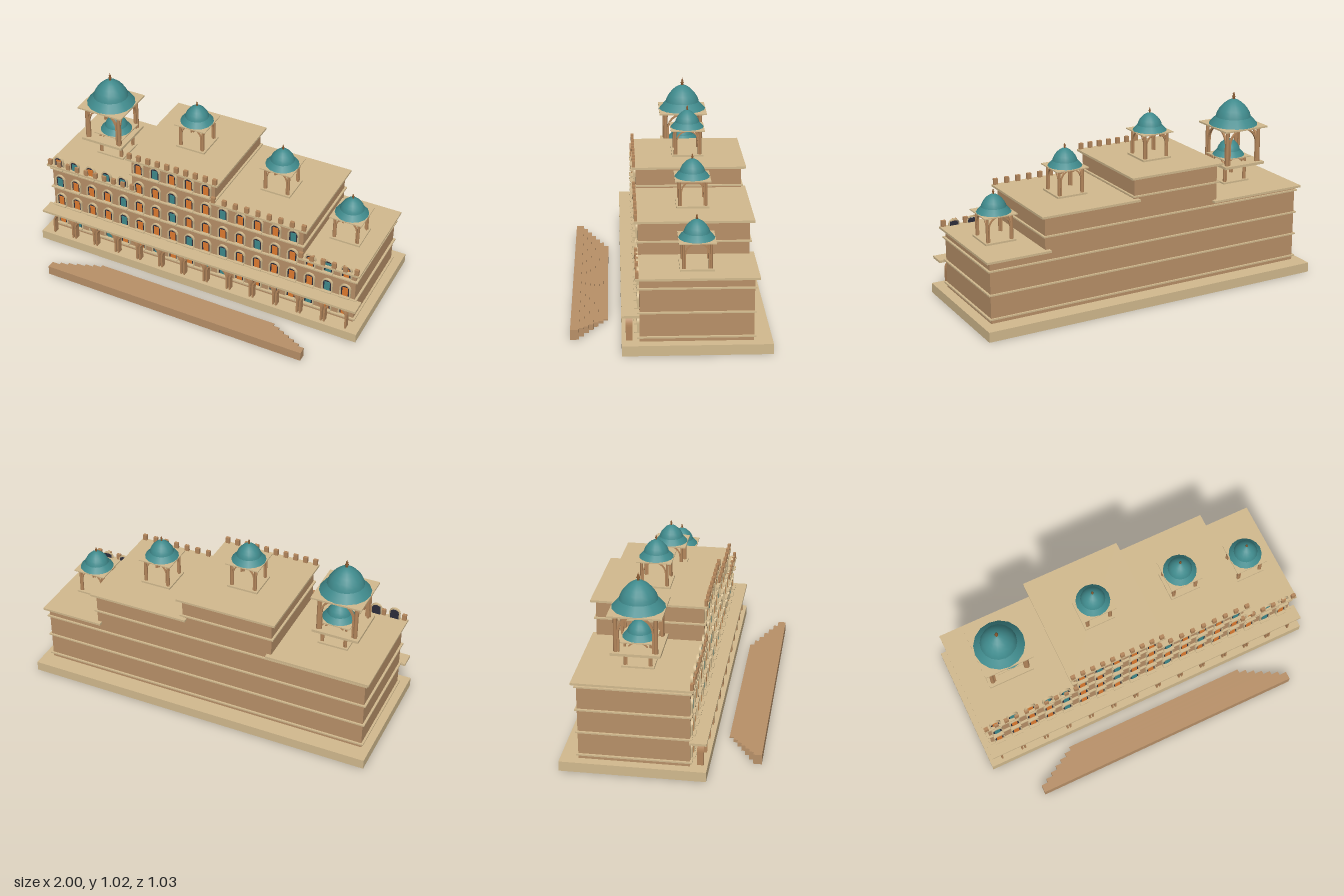
import * as THREE from 'three';

const mat = (color, side = THREE.FrontSide) => new THREE.MeshStandardMaterial({ color, side });
const wall = mat(0xb89068);
const trim = mat(0xd2ba8e);
const stone = mat(0xb5875c);
const teal = mat(0x3f8a8c, THREE.DoubleSide);
const orange = mat(0xe07b30);
const dark = mat(0x2c2c3a);
const bronze = mat(0x8a5a30);

function add(parent, name, geometry, material, x = 0, y = 0, z = 0) {
  const mesh = new THREE.Mesh(geometry, material);
  mesh.name = name;
  mesh.position.set(x, y, z);
  parent.add(mesh);
  return mesh;
}

// Box given by its limits on each axis
function slab(parent, name, material, x0, x1, y0, y1, z0, z1) {
  return add(parent, name, new THREE.BoxGeometry(x1 - x0, y1 - y0, z1 - z0), material,
    (x0 + x1) / 2, (y0 + y1) / 2, (z0 + z1) / 2);
}

function group(parent, name, x = 0, y = 0, z = 0) {
  const g = new THREE.Group();
  g.name = name;
  g.position.set(x, y, z);
  parent.add(g);
  return g;
}

// Round-headed arch band with two legs, standing on y = 0, depth centred on z
function archGeometry(radius, spring, band, depth) {
  const s = new THREE.Shape();
  const inner = radius - band;
  s.moveTo(radius, 0);
  s.lineTo(radius, spring);
  s.absarc(0, spring, radius, 0, Math.PI, false);
  s.lineTo(-radius, 0);
  s.lineTo(-inner, 0);
  s.lineTo(-inner, spring);
  s.absarc(0, spring, inner, Math.PI, 0, true);
  s.lineTo(inner, 0);
  return new THREE.ExtrudeGeometry(s, { depth, bevelEnabled: false, curveSegments: 10 })
    .translate(0, 0, -depth / 2);
}

// Domed roof kiosk; at scale 1 the square eave is 0.19 wide
function kiosk(parent, name, x, y, z, s) {
  const k = group(parent, name, x, y, z);
  k.scale.setScalar(s);
  slab(k, 'kioskFloor', trim, -0.088, 0.088, 0, 0.01, -0.088, 0.088);
  for (const sx of [-1, 1]) for (const sz of [-1, 1]) {
    add(k, 'kioskColumn', new THREE.CylinderGeometry(0.007, 0.008, 0.138, 8), stone,
      sx * 0.07, 0.079, sz * 0.07);
  }
  const arch = archGeometry(0.064, 0.074, 0.007, 0.008);
  for (let i = 0; i < 4; i++) {
    const side = group(k, 'kioskArchSide');
    side.rotation.y = i * Math.PI / 2;
    add(side, 'kioskArch', arch, stone, 0, 0.01, 0.07);
  }
  slab(k, 'kioskEave', trim, -0.095, 0.095, 0.146, 0.152, -0.095, 0.095);
  // Flared skirt below a pointed dome
  const skirt = [[0.094, 0.152], [0.083, 0.165], [0.066, 0.183]];
  const dome = [[0.068, 0.18], [0.064, 0.194], [0.056, 0.209], [0.044, 0.224],
    [0.03, 0.237], [0.015, 0.246], [0, 0.25]];
  for (const [part, pts] of [['domeSkirt', skirt], ['dome', dome]]) {
    add(k, part, new THREE.LatheGeometry(pts.map(p => new THREE.Vector2(...p)), 16), teal);
  }
  const finial = [[0.005, 0.246], [0.004, 0.254], [0.007, 0.259], [0.003, 0.264],
    [0.005, 0.268], [0.002, 0.272], [0, 0.279]];
  add(k, 'finial', new THREE.LatheGeometry(finial.map(p => new THREE.Vector2(...p)), 8), bronze);
}

export function createModel() {
  const model = new THREE.Group();
  model.name = 'palace';

  slab(model, 'plinth', trim, -1, 1, 0, 0.055, -0.515, 0.25);

  // Detached stair: seven treads, widening and rising towards the front
  const stair = group(model, 'stair');
  for (let i = 0; i < 7; i++) {
    const z = 0.32 + i * 0.025, w = 0.55 + i * 0.04;
    slab(stair, 'step', wall, -w, w, 0, 0.055 * (i + 1) / 7, z, i === 6 ? 0.515 : z + 0.025);
  }

  // Four wings: x limits, roof height, number of merlons
  const wings = [
    ['leftmostWing', -0.95, -0.42, 0.505, 10],
    ['tallWing', -0.42, 0.10, 0.717, 10],
    ['middleWing', 0.10, 0.63, 0.592, 9],
    ['lowWing', 0.63, 0.945, 0.403, 6],
  ];
  const courses = [0.08, 0.213, 0.343, 0.475, 0.606];
  for (const [name, x0, x1, top, merlons] of wings) {
    const w = group(model, name);
    slab(w, 'walls', wall, x0, x1, 0.055, top - 0.01, -0.42, 0.16);
    slab(w, 'roof', trim, x0 - 0.025, x1 + 0.025, top - 0.012, top, -0.445, 0.182);
    for (const y of courses) {
      if (y < top - 0.02) {
        slab(w, 'stringCourse', trim, x0 - 0.012, x1 + 0.012, y - 0.004, y + 0.004, -0.43, 0.172);
      }
    }
    for (let i = 0; i < merlons; i++) {
      const x = x0 - 0.005 + (x1 - x0 + 0.01) * i / (merlons - 1);
      slab(w, 'merlon', stone, x - 0.012, x + 0.012, top, top + 0.034, 0.163, 0.18);
    }
  }

  // Windows: one letter per bay, o = lit, t = teal, blank = none
  const rows = [
    'ototootoottoototoo',
    'ooootooototoooooto',
    'toootootooootoooto',
    'otottootootooot   ',
    '     otooo        ',
  ];
  const surround = archGeometry(0.032, 0.05, 0.007, 0.012);
  const windows = group(model, 'windows');
  rows.forEach((row, r) => [...row].forEach((c, i) => {
    if (c === ' ') return;
    const w = group(windows, 'window', -0.9 + i * 0.1053, 0.095 + r * 0.131, 0.16);
    slab(w, 'windowFrame', dark, -0.024, 0.024, 0, 0.07, 0, 0.006);
    slab(w, 'windowPane', c === 'o' ? orange : teal, -0.016, 0.016, 0.004, 0.06, 0.004, 0.009);
    add(w, 'windowArch', surround, trim, 0, 0, 0.006);
    slab(w, 'windowSill', trim, -0.03, 0.03, -0.003, 0.003, 0, 0.026);
  }));

  // Ground-floor arcade under a continuous canopy
  const arcade = group(model, 'arcade');
  const bays = 13, pitch = 1.87 / bays;
  const bay = archGeometry(pitch / 2 - 0.004, 0.077, 0.01, 0.034);
  for (let i = 0; i < bays; i++) {
    add(arcade, 'arcadeArch', bay, stone, (i - (bays - 1) / 2) * pitch, 0.055, 0.212);
  }
  slab(arcade, 'canopy', trim, -0.985, 0.985, 0.2, 0.213, 0.16, 0.25);

  // Roof kiosks
  kiosk(model, 'largeKiosk', -0.713, 0.605, -0.135, 1.48);
  kiosk(model, 'smallKiosk', -0.687, 0.505, -0.135, 0.97);
  kiosk(model, 'tallWingKiosk', -0.16, 0.717, -0.135, 1);
  kiosk(model, 'middleWingKiosk', 0.365, 0.592, -0.135, 1);
  kiosk(model, 'lowWingKiosk', 0.787, 0.403, -0.135, 1);

  return model;
}
